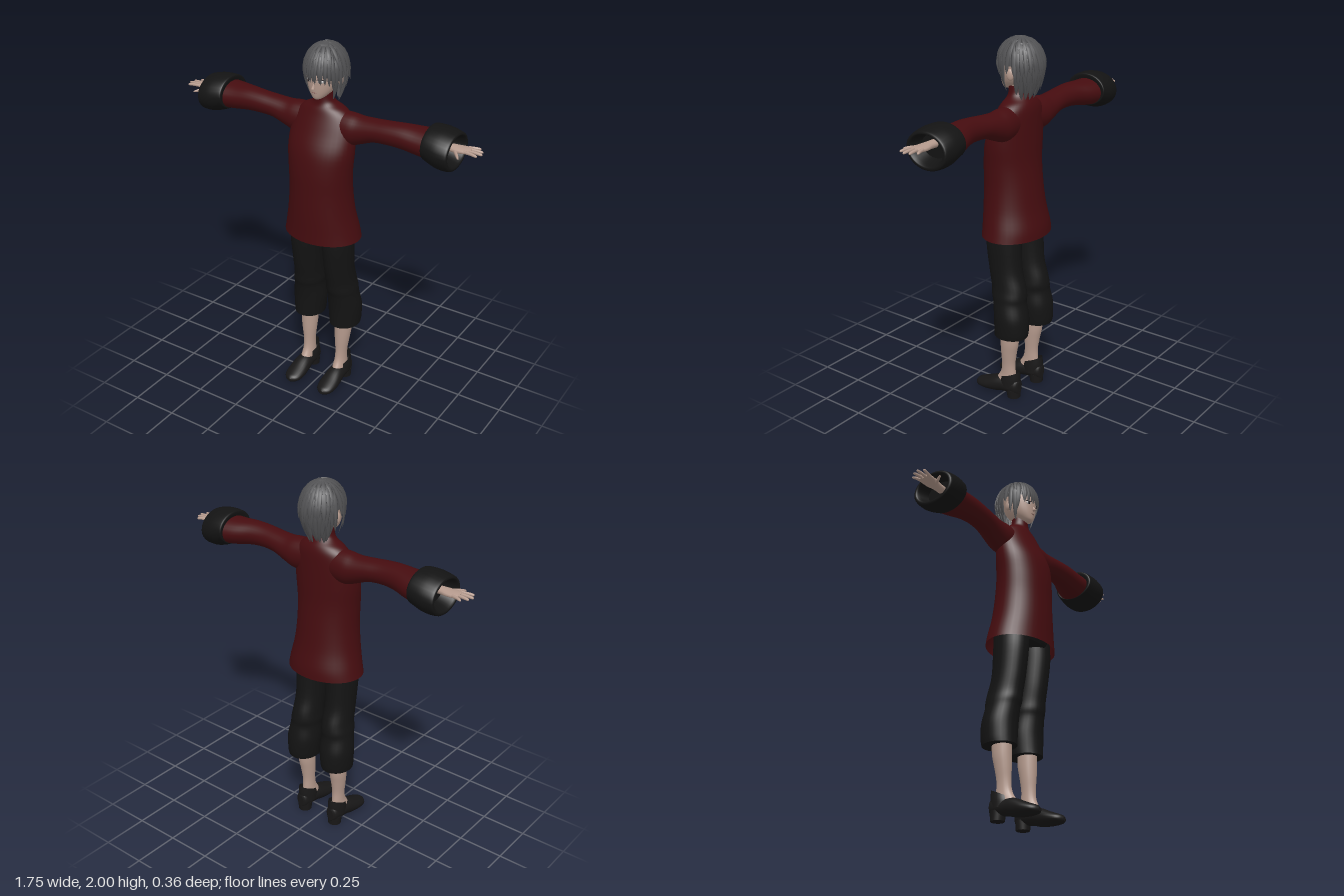
import * as THREE from 'three';
import { mergeGeometries } from 'three/addons/utils/BufferGeometryUtils.js';

const V = (x, y, z) => new THREE.Vector3(x, y, z);
const AXES = { y: [V(1, 0, 0), V(0, 0, -1)], x: [V(0, 0, 1), V(0, -1, 0)], z: [V(1, 0, 0), V(0, 1, 0)] };

// Catmull-Rom refinement of a list of parameter rows
function refine(rows, n) {
  const out = [], at = i => rows[Math.min(Math.max(i, 0), rows.length - 1)];
  for (let i = 0; i < rows.length - 1; i++) for (let k = 0; k < n; k++) {
    const t = k / n, [a, b, c, d] = [at(i - 1), at(i), at(i + 1), at(i + 2)];
    out.push(b.map((_, j) => {
      const cubic = 3 * (b[j] - c[j]) + d[j] - a[j];
      const square = 2 * a[j] - 5 * b[j] + 4 * c[j] - d[j];
      return b[j] + 0.5 * t * (c[j] - a[j] + t * (square + t * cubic));
    }));
  }
  out.push(rows[rows.length - 1]);
  return out;
}

// Surface through closed rings of points, with optional flat end caps
function skin(rings, caps = true) {
  const pos = [], idx = [], n = rings[0].length;
  rings.forEach(r => r.forEach(p => pos.push(p.x, p.y, p.z)));
  for (let i = 0; i < rings.length - 1; i++) for (let j = 0; j < n; j++) {
    const a = i * n + j, b = i * n + (j + 1) % n;
    idx.push(a, b, a + n, b, b + n, a + n);
  }
  if (caps) [rings[0], rings[rings.length - 1]].forEach((r, end) => {
    const base = pos.length / 3, c = V(0, 0, 0);
    r.forEach(p => { c.addScaledVector(p, 1 / n); pos.push(p.x, p.y, p.z); });
    pos.push(c.x, c.y, c.z);
    for (let j = 0; j < n; j++) {
      const k = (j + 1) % n;
      idx.push(base + n, base + (end ? j : k), base + (end ? k : j));
    }
  });
  const g = new THREE.BufferGeometry();
  g.setAttribute('position', new THREE.Float32BufferAttribute(pos, 3));
  g.setIndex(idx);
  g.computeVertexNormals();
  return g;
}

// Loft of ellipses along an axis; rows are [x, y, z, radiusU, radiusV]
function loft(axis, rows, { seg = 28, n = 4, caps = true } = {}) {
  const [u, v] = AXES[axis];
  return skin(refine(rows, n).map(([x, y, z, ru, rv]) => Array.from({ length: seg }, (_, j) => {
    const t = j / seg * Math.PI * 2;
    return V(x, y, z).addScaledVector(u, ru * Math.cos(t)).addScaledVector(v, rv * Math.sin(t));
  })), caps);
}

function mirrored(g) {
  const m = g.clone().scale(-1, 1, 1), ix = m.index.array;
  for (let i = 0; i < ix.length; i += 3) [ix[i], ix[i + 1]] = [ix[i + 1], ix[i]];
  m.computeVertexNormals();
  return m;
}

// Hair envelope: dome on top, hanging skirt below; a = azimuth from the front, p = drop (1 at the widest level)
function scalp(a, p, s = 1) {
  const e = Math.max(p - 1, 0), q = Math.min(p, 1) * Math.PI / 2;
  const r = Math.sin(q) * (1 - 0.35 * Math.pow(e, 1.6)) * s;
  return V(0.107 * r * Math.sin(a), 1.865 + 0.128 * s * Math.cos(q) - 0.156 * e, -0.035 + 0.127 * r * Math.cos(a));
}

// Flattened lock tapering to a point
function lock(points, width, thick) {
  const curve = new THREE.CatmullRomCurve3(points), rings = [], core = V(0, 1.84, -0.035);
  for (let i = 0; i <= 8; i++) {
    const t = i / 8, c = curve.getPoint(t), T = curve.getTangent(t);
    const side = T.clone().cross(c.clone().sub(core)).normalize(), out = side.clone().cross(T);
    const k = Math.max(0.03, Math.pow(1 - t, 0.7) * (0.55 + 1.1 * t));
    rings.push(Array.from({ length: 6 }, (_, j) => {
      const q = j / 6 * Math.PI * 2;
      return c.clone().addScaledVector(side, -Math.cos(q) * width * k).addScaledVector(out, Math.sin(q) * thick * k);
    }));
  }
  return skin(rings);
}

export function createModel() {
  const model = new THREE.Group();
  const mat = (name, color, side = THREE.FrontSide) => Object.assign(new THREE.MeshStandardMaterial({ color, side }), { name });
  const red = mat('dark red cloth', 0x450c0f, THREE.DoubleSide);
  const black = mat('black cloth', 0x131313);
  const leather = mat('black leather', 0x181717, THREE.DoubleSide);
  const skinTone = mat('skin', 0xb59a8d);
  const grey = mat('grey hair', 0x525254, THREE.DoubleSide);
  const white = mat('eye white', 0xc8c4c2);
  const iris = mat('dark iris', 0x1c1518);
  const lip = mat('lip', 0x7d5450);
  const add = (name, g, m) => {
    const mesh = new THREE.Mesh(g, m);
    mesh.name = name;
    model.add(mesh);
  };
  const pair = (name, g, m) => { add(name + 'Left', g, m); add(name + 'Right', mirrored(g), m); };

  // Tunic with flared hem, sloping shoulders and a standing collar
  add('tunic', loft('y', [
    [0, 0.945, -0.01, 0.218, 0.165], [0, 1.0, -0.008, 0.206, 0.163], [0, 1.1, 0.003, 0.186, 0.153],
    [0, 1.22, 0.01, 0.175, 0.144], [0, 1.34, 0.015, 0.178, 0.136], [0, 1.45, 0.008, 0.187, 0.126],
    [0, 1.55, -0.012, 0.181, 0.104], [0, 1.62, -0.025, 0.16, 0.087], [0, 1.658, -0.027, 0.122, 0.074],
    [0, 1.682, -0.024, 0.074, 0.06], [0, 1.705, -0.018, 0.052, 0.05], [0, 1.745, -0.014, 0.046, 0.045],
  ], { seg: 40, caps: false }), red);

  // Sleeves
  pair('sleeve', loft('x', [
    [0.08, 1.57, -0.03, 0.07, 0.085], [0.16, 1.568, -0.03, 0.076, 0.086], [0.22, 1.575, -0.03, 0.071, 0.073],
    [0.3, 1.592, -0.027, 0.066, 0.06], [0.38, 1.599, -0.024, 0.066, 0.06], [0.46, 1.6, -0.028, 0.073, 0.064],
    [0.55, 1.592, -0.04, 0.09, 0.07], [0.64, 1.587, -0.047, 0.104, 0.076],
  ]), red);

  // Turned-back cuffs, hollow at the hand
  pair('cuff', loft('x', [
    [0.6, 1.59, -0.045, 0.085, 0.065], [0.594, 1.6, -0.043, 0.113, 0.084], [0.61, 1.6, -0.041, 0.121, 0.092],
    [0.67, 1.589, -0.038, 0.129, 0.102], [0.725, 1.582, -0.036, 0.124, 0.097], [0.739, 1.582, -0.036, 0.115, 0.088],
    [0.732, 1.584, -0.036, 0.1, 0.074], [0.67, 1.59, -0.036, 0.08, 0.058],
  ], { seg: 32 }), black);

  // Hands: wrist and palm, four fingers, thumb
  const hand = [loft('x', [
    [0.62, 1.602, -0.03, 0.027, 0.022], [0.7, 1.602, -0.03, 0.026, 0.019], [0.745, 1.602, -0.031, 0.036, 0.017],
    [0.79, 1.605, -0.033, 0.04, 0.013], [0.812, 1.606, -0.034, 0.034, 0.008],
  ], { seg: 14 })];
  [[-0.062, 0.842, -0.078], [-0.043, 0.866, -0.05], [-0.024, 0.874, -0.022], [-0.005, 0.86, 0.008]].forEach(([z0, x1, z1]) =>
    hand.push(loft('x', [
      [0.785, 1.606, z0, 0.0095, 0.009], [(0.785 + x1) / 2, 1.607, (z0 + z1) / 2, 0.0085, 0.008],
      [x1 - 0.006, 1.605, z1, 0.007, 0.0065], [x1, 1.604, z1, 0.002, 0.002],
    ], { seg: 8, n: 2 })));
  hand.push(loft('x', [
    [0.73, 1.6, -0.018, 0.014, 0.011], [0.755, 1.597, 0.012, 0.014, 0.01], [0.776, 1.594, 0.04, 0.011, 0.008], [0.788, 1.592, 0.055, 0.003, 0.003],
  ], { seg: 8, n: 2 }));
  pair('hand', mergeGeometries(hand), skinTone);

  // Baggy cropped trousers
  add('trouserHips', loft('y', [[0, 0.957, 0, 0.177, 0.105], [0, 1.0, 0, 0.178, 0.12], [0, 1.08, 0, 0.16, 0.12]]), black);
  pair('trouserLeg', loft('y', [
    [0.115, 0.385, -0.057, 0.084, 0.094], [0.115, 0.42, -0.06, 0.088, 0.097], [0.113, 0.5, -0.058, 0.092, 0.097],
    [0.109, 0.58, -0.045, 0.084, 0.094], [0.105, 0.62, -0.04, 0.084, 0.1], [0.102, 0.67, -0.033, 0.079, 0.099],
    [0.1, 0.76, -0.013, 0.078, 0.095], [0.1, 0.9, 0, 0.081, 0.1], [0.095, 1.0, 0, 0.083, 0.1],
  ]), black);

  // Bare calves and insteps
  pair('calf', loft('y', [
    [0.106, 0.05, 0.0, 0.036, 0.075], [0.106, 0.1, -0.022, 0.034, 0.06], [0.106, 0.145, -0.032, 0.031, 0.045],
    [0.107, 0.2, -0.034, 0.032, 0.04], [0.109, 0.27, -0.038, 0.04, 0.046], [0.111, 0.34, -0.044, 0.046, 0.053], [0.112, 0.45, -0.045, 0.046, 0.055],
  ], { seg: 20 }), skinTone);

  // Shoes: body along z from [z, bottom, top, half width], sloped collar and heel block
  const shoeBody = loft('z', [
    [-0.108, 0.03, 0.1, 0.018], [-0.095, 0.022, 0.118, 0.036], [-0.05, 0.022, 0.108, 0.043], [0, 0.016, 0.108, 0.045],
    [0.045, 0.004, 0.1, 0.05], [0.1, 0.0, 0.075, 0.054], [0.145, 0.002, 0.056, 0.047], [0.168, 0.006, 0.046, 0.031], [0.18, 0.014, 0.034, 0.01],
  ].map(([z, b, t, w]) => [0.108, (b + t) / 2, z, w, (t - b) / 2]), { seg: 24 });
  const collar = loft('y', [
    [0.107, 0.06, -0.045, 0.046, 0.06], [0.107, 0.1, -0.045, 0.045, 0.062], [0.107, 0.135, -0.047, 0.04, 0.058],
  ], { seg: 24, caps: false });
  const cp = collar.attributes.position;
  for (let i = 0; i < cp.count; i++) cp.setY(i, cp.getY(i) - 0.45 * (cp.getZ(i) + 0.045) * (cp.getY(i) - 0.06) / 0.075);
  collar.computeVertexNormals();
  const heel = loft('y', [[0.108, 0, -0.07, 0.037, 0.036], [0.108, 0.05, -0.068, 0.041, 0.041]], { seg: 20, n: 1 });
  pair('shoe', mergeGeometries([shoeBody, collar, heel]), leather);

  // Neck and head
  add('neck', loft('y', [[0, 1.7, -0.016, 0.038, 0.04], [0, 1.8, -0.015, 0.04, 0.042]]), skinTone);
  add('head', loft('y', [
    [0, 1.72, 0.044, 0.012, 0.014], [0, 1.73, 0.032, 0.032, 0.036], [0, 1.76, 0.006, 0.059, 0.069],
    [0, 1.8, -0.01, 0.076, 0.089], [0, 1.85, -0.018, 0.083, 0.099], [0, 1.9, -0.03, 0.08, 0.1], [0, 1.95, -0.032, 0.055, 0.07],
  ]), skinTone);
  add('nose', new THREE.ConeGeometry(0.009, 0.034, 8).scale(1, 1, 1.3).rotateX(-0.3).translate(0, 1.798, 0.08), skinTone);
  const ball = (x, y, z, rx, ry, rz, turn = 0) =>
    new THREE.SphereGeometry(1, 16, 10).scale(rx, ry, rz).rotateY(turn).translate(x, y, z);
  pair('ear', ball(0.088, 1.812, -0.033, 0.012, 0.03, 0.02, 0.3), skinTone);

  // Painted face details
  pair('eyeWhite', ball(0.035, 1.822, 0.0695, 0.016, 0.009, 0.004, 0.42), white);
  pair('iris', ball(0.034, 1.822, 0.0725, 0.008, 0.009, 0.003, 0.42), iris);
  pair('lashLine', ball(0.035, 1.831, 0.071, 0.019, 0.0025, 0.004, 0.42), iris);
  add('mouth', ball(0, 1.76, 0.0745, 0.014, 0.002, 0.003), lip);

  // Hair shell, open over the face and longer at the back
  const edge = a => 1.04 + 0.66 * THREE.MathUtils.smoothstep(Math.abs(a), 1.7, 2.3);
  const shell = [];
  for (let i = 12; i >= 0; i--) shell.push(Array.from({ length: 40 }, (_, j) => {
    const a = j / 40 * Math.PI * 2, w = a > Math.PI ? a - Math.PI * 2 : a;
    return scalp(w, Math.max(0.02, edge(w) * i / 12), 0.985);
  }));
  add('hairShell', skin(shell, false), grey);

  // Layered locks
  let seed = 7;
  const rand = () => (seed = (seed * 16807) % 2147483647) / 2147483647;
  const locks = [];
  const hang = (a, p0, p1, width, flare, bend = 0) => locks.push(lock([0, 0.35, 0.7, 1].map(t =>
    scalp(a + bend * t * t, p0 + (p1 - p0) * t, 1.0 + flare * t * t * t)), width, 0.007));
  for (let i = 0; i < 11; i++) { // fringe
    const a = (i - 5) * 0.15;
    hang(a, 0.2, 1.2 + 0.16 * rand() + 0.12 * Math.abs(a), 0.017, 0.02, (rand() - 0.5) * 0.16);
  }
  for (const s of [-1, 1]) { // side strands around the ears
    hang(s * 0.92, 0.25, 1.6, 0.019, 0.03, s * 0.1);
    hang(s * 1.12, 0.25, 1.95, 0.022, 0.04);
    hang(s * 1.3, 0.3, 1.7, 0.019, 0.22, s * 0.05);
    hang(s * 1.55, 0.3, 1.28, 0.022, 0.16);
    hang(s * 1.8, 0.3, 1.42, 0.022, 0.24, s * 0.1);
  }
  for (let row = 0; row < 3; row++) for (let i = 0; i < 13; i++) { // back layers
    const a = Math.PI + (i - 6) * 0.2 + (row % 2) * 0.1;
    hang(a, 0.1 + 0.3 * row, 1.25 + 0.3 * row + 0.2 * rand(), 0.022, 0.04 + 0.1 * rand(), (rand() - 0.5) * 0.2);
  }
  for (let i = 0; i < 9; i++) { // nape
    const a = Math.PI + (i - 4) * 0.26;
    hang(a, 1.2, 2.05 + 0.14 * rand(), 0.02, 0.12 * rand(), (rand() - 0.5) * 0.3);
  }
  for (let i = 0; i < 16; i++) hang(i / 16 * Math.PI * 2, 0.03, 0.85 + 0.2 * rand(), 0.018, 0.02, 0.1); // crown
  add('hairLocks', mergeGeometries(locks), grey);

  return model;
}
